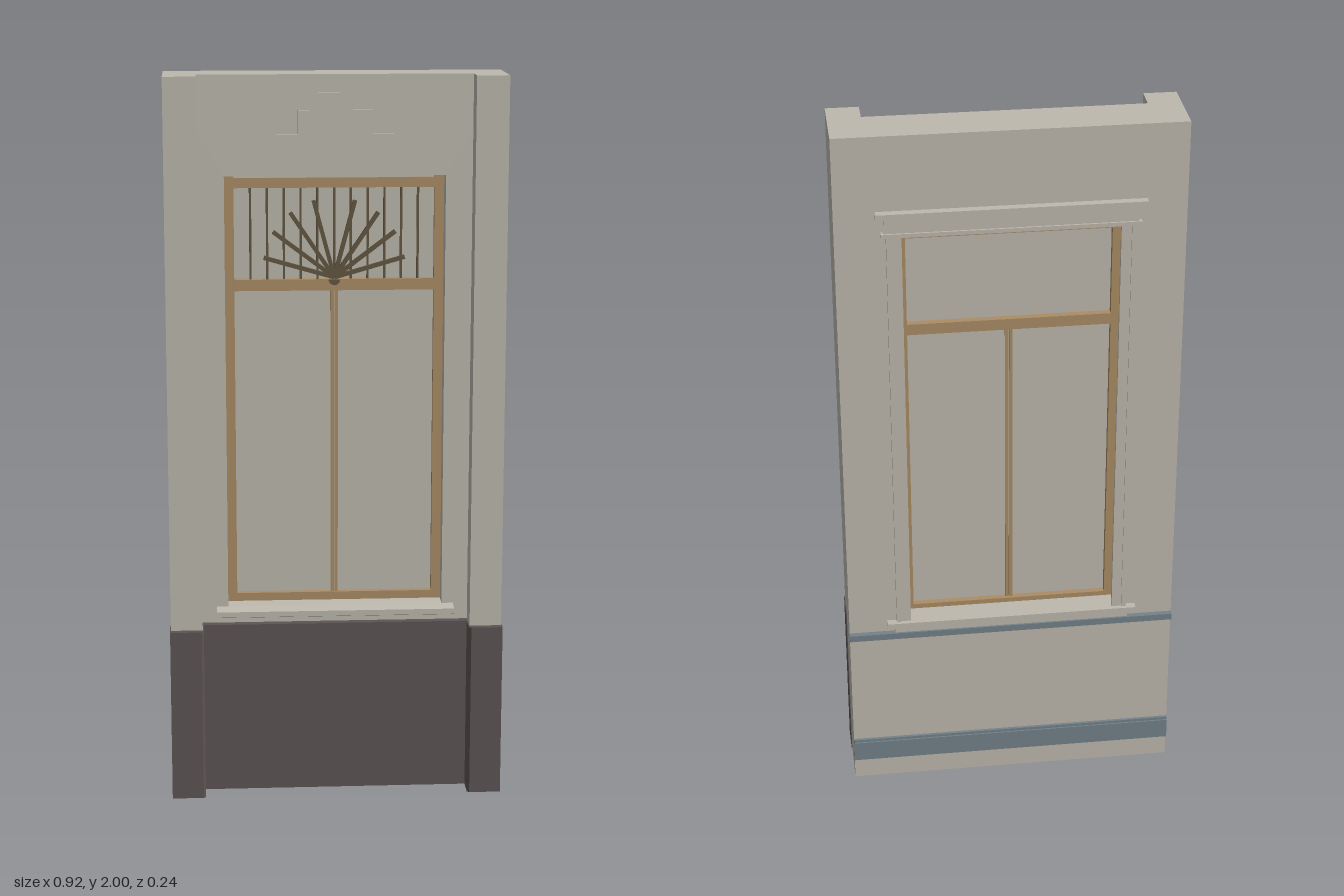
import * as THREE from 'three';

export function createModel() {
  const model = new THREE.Group();
  model.name = 'windowWallBay';

  const material = (name, color) => {
    const m = new THREE.MeshStandardMaterial({ color });
    m.name = name;
    return m;
  };
  const stone = material('pale stone', 0xbdb9ae);
  const dark = material('dark plinth stone', 0x5d5454);
  const wood = material('window wood', 0xab8d65);
  const iron = material('bronze grille', 0x615540);
  const blue = material('blue grey trim', 0x74828a);

  const add = (name, geometry, mat, parent = model) => {
    const mesh = new THREE.Mesh(geometry, mat);
    mesh.name = name;
    parent.add(mesh);
    return mesh;
  };
  // box given by its minimum and maximum on each axis
  const box = (name, [x0, x1], [y0, y1], [z0, z1], mat, parent) => {
    const mesh = add(name, new THREE.BoxGeometry(x1 - x0, y1 - y0, z1 - z0), mat, parent);
    mesh.position.set((x0 + x1) / 2, (y0 + y1) / 2, (z0 + z1) / 2);
    return mesh;
  };
  const group = (name) => {
    const g = new THREE.Group();
    g.name = name;
    model.add(g);
    return g;
  };
  const shapeOf = (points) => new THREE.Shape(points.map(([x, y]) => new THREE.Vector2(x, y)));
  const extrude = (shape, depth) => new THREE.ExtrudeGeometry(shape, { depth, bevelEnabled: false });
  const mirror = (points) => [...points, ...points.map(([x, y]) => [-x, y]).reverse()];

  // Wall slab with the window opening
  const wall = shapeOf([[-0.458, 0], [0.458, 0], [0.458, 2], [-0.458, 2]]);
  wall.holes.push(new THREE.Path([[-0.298, 0.53], [-0.298, 1.73], [0.298, 1.73], [0.298, 0.53]]
    .map(([x, y]) => new THREE.Vector2(x, y))));
  add('wall', extrude(wall, 0.134), stone).position.z = -0.1;

  // Side pilasters
  for (const [s, side] of [[1, 'left'], [-1, 'right']]) {
    box(side + 'Pilaster', s > 0 ? [0.37, 0.458] : [-0.458, -0.37], [0, 2], [0.03, 0.103], stone);
  }

  // Dark plinth: stepped plan with chamfered inner corners, raised along y
  const plan = mirror([[0.46, -0.037], [0.46, -0.122], [0.373, -0.122], [0.367, -0.116], [0.367, -0.057]]);
  const plinth = extrude(shapeOf(plan), 0.485);
  plinth.rotateX(-Math.PI / 2);
  // plan y becomes -z, so the front of the plinth faces +z
  add('plinth', plinth, dark);
  box('plinthBacking', [-0.37, 0.37], [0.002, 0.485], [0.03, 0.05], dark);

  // Front sill with a sloping top
  const sill = extrude(shapeOf([[-0.02, 0.495], [0.066, 0.495], [0.066, 0.508], [0.07, 0.51],
    [0.07, 0.525], [0.034, 0.531], [-0.02, 0.534]]), 0.66);
  sill.rotateY(-Math.PI / 2);
  sill.translate(0.33, 0, 0);
  add('frontSill', sill, stone);

  // Stepped ornament above the window
  const steps = mirror([[0.157, 1.746], [0.157, 1.842], [0.1, 1.842], [0.1, 1.906], [0.046, 1.906], [0.046, 1.953]]);
  add('steppedOrnament', extrude(shapeOf(steps), 0.014), stone).position.z = 0.033;

  // Window frame, transom, meeting stiles and panes
  const win = group('window');
  for (const s of [-1, 1]) {
    box('jamb', s > 0 ? [0.272, 0.298] : [-0.298, -0.272], [0.532, 1.728], [-0.05, -0.01], wood, win);
    box('meetingStile', s > 0 ? [0.001, 0.01] : [-0.01, -0.001], [0.55, 1.42], [-0.042, -0.014], wood, win);
  }
  box('headRail', [-0.272, 0.272], [1.693, 1.72], [-0.05, -0.01], wood, win);
  box('headFiller', [-0.272, 0.272], [1.72, 1.73], [-0.04, -0.016], stone, win);
  box('transom', [-0.272, 0.272], [1.413, 1.444], [-0.052, -0.006], wood, win);
  box('bottomRail', [-0.272, 0.272], [0.532, 0.556], [-0.05, -0.01], wood, win);
  box('panes', [-0.275, 0.275], [0.54, 1.71], [-0.033, -0.027], stone, win);

  // Transom grille: upright bars behind a fan of rays
  const grille = group('sunburstGrille');
  for (let i = -5; i <= 5; i++) {
    const x = i * 0.0455;
    box('grilleBar', [x - 0.003, x + 0.003], [1.444, 1.693], [-0.02, -0.012], iron, grille);
  }
  for (const degrees of [16, 37, 56, 75, 105, 124, 143, 164]) {
    const a = THREE.MathUtils.degToRad(degrees);
    const length = 0.192 + 0.026 * Math.sin(a);
    const ray = add('grilleRay', new THREE.BoxGeometry(length, 0.011, 0.012), iron, grille);
    ray.position.set(Math.cos(a) * length / 2, 1.449 + Math.sin(a) * length / 2, -0.008);
    ray.rotation.z = a;
  }
  const hub = add('grilleHub', new THREE.CylinderGeometry(0.016, 0.016, 0.012, 16, 1, false, Math.PI / 2, Math.PI), iron, grille);
  hub.rotation.x = -Math.PI / 2;
  hub.position.set(0, 1.444, -0.008);

  // Casing around the opening on the back
  const casing = group('backCasing');
  for (const s of [-1, 1]) {
    const span = (a, b) => (s > 0 ? [a, b] : [-b, -a]);
    box('casingSide', span(0.285, 0.323), [0.54, 1.73], [-0.109, -0.098], stone, casing);
    box('casingEdge', span(0.312, 0.325), [0.54, 1.73], [-0.113, -0.098], stone, casing);
  }
  box('casingFrieze', [-0.33, 0.33], [1.735, 1.782], [-0.111, -0.098], stone, casing);
  box('casingBead', [-0.338, 0.338], [1.726, 1.737], [-0.116, -0.098], stone, casing);
  box('casingCap', [-0.352, 0.352], [1.78, 1.795], [-0.122, -0.098], stone, casing);
  box('backSill', [-0.352, 0.352], [0.526, 0.542], [-0.122, -0.04], stone, casing);
  box('backApron', [-0.33, 0.33], [0.507, 0.527], [-0.112, -0.098], stone, casing);

  // Painted rails across the back
  box('chairRail', [-0.458, 0.458], [0.487, 0.506], [-0.116, -0.098], blue);
  box('baseboard', [-0.458, 0.458], [0.068, 0.128], [-0.112, -0.098], blue);
  box('baseboardCap', [-0.458, 0.458], [0.127, 0.136], [-0.108, -0.098], blue);

  return model;
}
